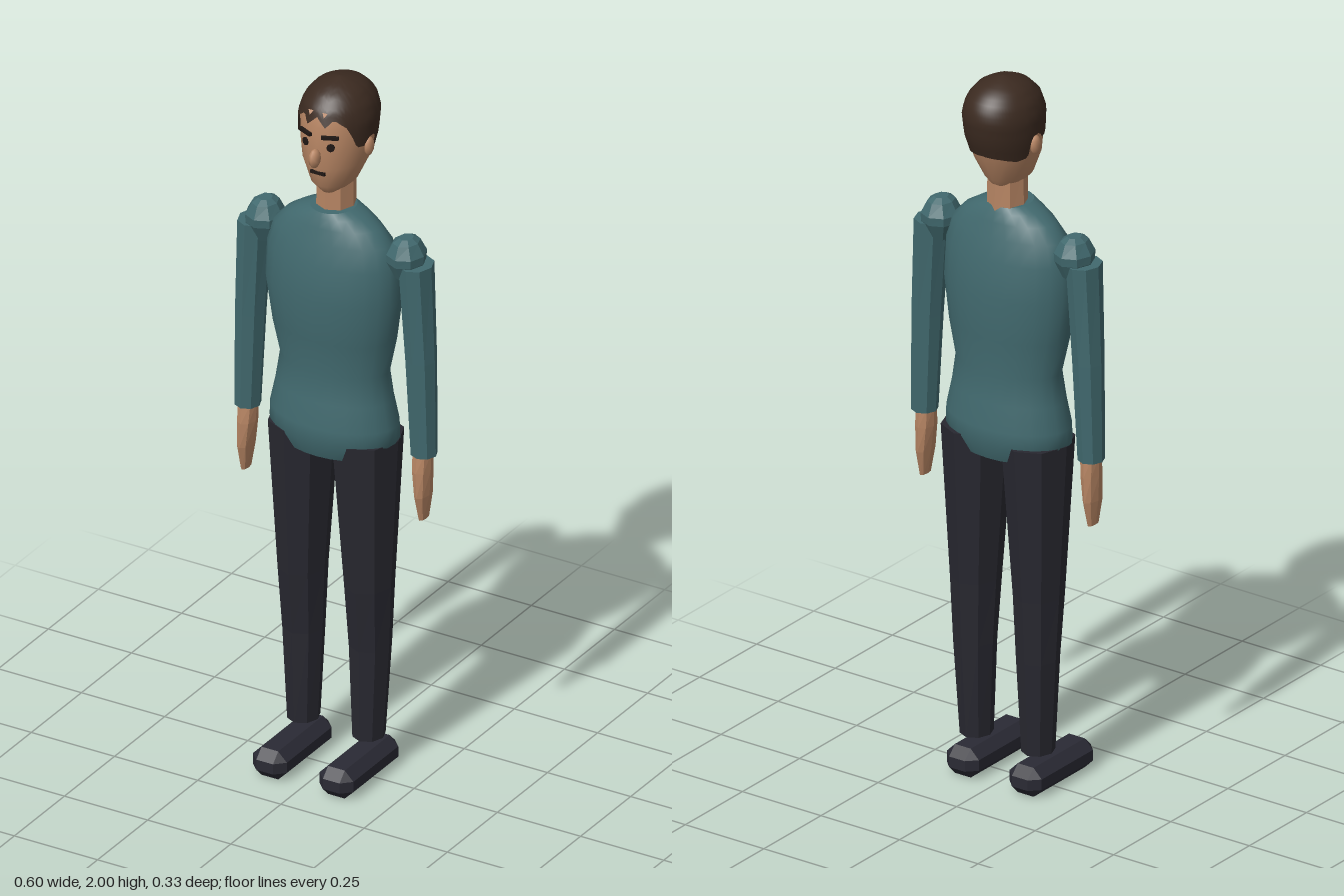
import * as THREE from 'three';
import { ConvexGeometry } from 'three/addons/geometries/ConvexGeometry.js';

// Closed tube through elliptical rings [y, cx, cz, rx, rz], listed bottom to top
function loft(rings, sides, flat) {
  const pos = [], idx = [];
  const addRing = ([y, cx, cz, rx, rz]) => {
    for (let i = 0; i < sides; i++) {
      const a = (i / sides) * Math.PI * 2;
      pos.push(cx + Math.sin(a) * rx, y, cz + Math.cos(a) * rz);
    }
  };
  rings.forEach(addRing);
  for (let r = 0; r < rings.length - 1; r++) {
    for (let i = 0; i < sides; i++) {
      const a = r * sides + i, b = r * sides + (i + 1) % sides;
      idx.push(a, b, b + sides, a, b + sides, a + sides);
    }
  }
  // separate cap vertices keep the rims sharp
  for (const top of [false, true]) {
    const ring = top ? rings[rings.length - 1] : rings[0];
    const start = pos.length / 3;
    addRing(ring);
    for (let i = 1; i < sides - 1; i++) {
      if (top) idx.push(start, start + i, start + i + 1);
      else idx.push(start, start + i + 1, start + i);
    }
  }
  let geo = new THREE.BufferGeometry();
  geo.setAttribute('position', new THREE.Float32BufferAttribute(pos, 3));
  geo.setIndex(idx);
  if (flat) geo = geo.toNonIndexed();
  geo.computeVertexNormals();
  return geo;
}

// Box with every edge and corner cut off
function chamferBox(hx, hy, hz, c) {
  const pts = [];
  for (const x of [-1, 1]) for (const y of [-1, 1]) for (const z of [-1, 1]) {
    pts.push(new THREE.Vector3(x * hx, y * (hy - c), z * (hz - c)));
    pts.push(new THREE.Vector3(x * (hx - c), y * hy, z * (hz - c)));
    pts.push(new THREE.Vector3(x * (hx - c), y * (hy - c), z * hz));
  }
  return new ConvexGeometry(pts);
}

// Piecewise-linear lookup in rows sorted by their first value
function lookup(rows, t) {
  let i = 0;
  while (i < rows.length - 2 && t > rows[i + 1][0]) i++;
  const a = rows[i], b = rows[i + 1];
  const k = THREE.MathUtils.clamp((t - a[0]) / (b[0] - a[0]), 0, 1);
  return a.map((v, j) => v + (b[j] - v) * k);
}

// Skull profile: y, centre z, half width, half depth
const SKULL = [
  [1.69, -0.022, 0.03, 0.05], [1.72, -0.02, 0.058, 0.075], [1.78, -0.028, 0.084, 0.097],
  [1.84, -0.038, 0.094, 0.11], [1.90, -0.043, 0.096, 0.115], [1.94, -0.045, 0.084, 0.103],
  [1.97, -0.045, 0.06, 0.073], [1.985, -0.045, 0.034, 0.042], [1.995, -0.045, 0, 0],
];
const faceZ = (x, y) => {
  const [, cz, rx, rz] = lookup(SKULL, y);
  return cz + rz * Math.sqrt(1 - (x / rx) ** 2);
};

// Hairline: degrees from the front, height of the lower edge
const HAIRLINE = [
  [0, 1.925], [15, 1.9], [27, 1.922], [45, 1.9], [54, 1.87], [62, 1.835], [76, 1.832],
  [82, 1.852], [98, 1.85], [106, 1.79], [125, 1.785], [150, 1.795], [180, 1.8],
];

function hairCap() {
  const cols = 72, rows = 14, gap = 0.006, pos = [], idx = [];
  for (let r = 0; r <= rows; r++) {
    for (let c = 0; c < cols; c++) {
      const deg = (c / cols) * 360, a = deg * Math.PI / 180;
      const low = lookup(HAIRLINE, deg > 180 ? 360 - deg : deg)[1];
      const y = 1.995 - (1.995 - low) * (r / rows) ** 1.7;
      const [, cz, rx, rz] = lookup(SKULL, y);
      const g = r ? gap : 0;
      pos.push(Math.sin(a) * (rx + g), y + 0.005, cz + Math.cos(a) * (rz + g));
      if (r < rows) {
        const p = r * cols + c, q = r * cols + (c + 1) % cols;
        idx.push(p, p + cols, q + cols, p, q + cols, q);
      }
    }
  }
  const geo = new THREE.BufferGeometry();
  geo.setAttribute('position', new THREE.Float32BufferAttribute(pos, 3));
  geo.setIndex(idx);
  geo.computeVertexNormals();
  return geo;
}

export function createModel() {
  const model = new THREE.Group();
  const mat = (name, color) => Object.assign(new THREE.MeshStandardMaterial({ color }), { name });
  const shirt = mat('teal shirt', 0x41696e);
  const skin = mat('skin', 0xb88664);
  const hair = mat('brown hair', 0x3b2a20);
  hair.side = THREE.DoubleSide;
  const trousers = mat('dark trousers', 0x282830);
  const shoes = mat('dark shoes', 0x2a2a34);
  const ink = mat('dark features', 0x1f1714);
  const add = (name, geo, material, x = 0, y = 0, z = 0) => {
    const mesh = new THREE.Mesh(geo, material);
    mesh.name = name;
    mesh.position.set(x, y, z);
    model.add(mesh);
    return mesh;
  };

  // Torso and neck
  add('torso', loft([
    [0.94, 0, -0.02, 0.15, 0.097], [0.985, 0, -0.02, 0.185, 0.114], [1.03, 0, -0.02, 0.183, 0.115],
    [1.1, 0, -0.02, 0.168, 0.103], [1.18, 0, -0.021, 0.156, 0.094], [1.28, 0, -0.018, 0.178, 0.106],
    [1.4, 0, -0.015, 0.195, 0.115], [1.5, 0, -0.015, 0.191, 0.104], [1.56, 0, -0.015, 0.173, 0.088],
    [1.6, 0, -0.015, 0.135, 0.078], [1.625, 0, -0.015, 0.095, 0.07], [1.64, 0, -0.015, 0.06, 0.064],
  ], 24), shirt);
  add('neck', loft([[1.6, 0, -0.027, 0.053, 0.057], [1.74, 0, -0.027, 0.05, 0.055]], 8, true), skin);

  // Head, closed beneath the hair
  const skull = SKULL.filter(s => s[0] < 1.95).map(([y, cz, rx, rz]) => [y, 0, cz, rx, rz]);
  add('head', loft(skull, 20), skin);
  add('hair', hairCap(), hair);
  add('nose', new THREE.SphereGeometry(1, 8, 6).scale(0.015, 0.027, 0.021), skin, 0, 1.814, 0.081);
  add('mouth', new THREE.BoxGeometry(0.042, 0.009, 0.008), ink, 0, 1.765, faceZ(0.01, 1.765));

  for (const s of [1, -1]) {
    const side = s > 0 ? 'left' : 'right';

    // Face details
    add(side + 'Ear', new THREE.SphereGeometry(1, 8, 6).scale(0.012, 0.027, 0.018), skin, s * 0.094, 1.824, -0.034);
    const eye = add(side + 'Eye', new THREE.CylinderGeometry(0.011, 0.011, 0.008, 8).rotateX(Math.PI / 2),
      ink, s * 0.037, 1.847, faceZ(0.037, 1.847));
    const brow = add(side + 'Brow', new THREE.BoxGeometry(0.046, 0.009, 0.009), ink, s * 0.037, 1.877, faceZ(0.037, 1.877) + 0.004);
    eye.rotation.y = brow.rotation.y = s * 0.42;
    const gap = add(side + 'FringeGap', new THREE.CircleGeometry(0.009, 3, -Math.PI / 2), skin, s * 0.021, 1.94, faceZ(0.021, 1.937) + 0.011);
    gap.rotation.x = -0.5;

    // Faceted shoulder cap, sleeve and hand
    add(side + 'Shoulder', loft([
      [1.48, s * 0.212, -0.025, 0.03, 0.033], [1.527, s * 0.212, -0.025, 0.051, 0.056],
      [1.55, s * 0.212, -0.025, 0.052, 0.058], [1.583, s * 0.212, -0.025, 0.034, 0.042],
      [1.594, s * 0.212, -0.025, 0.018, 0.022],
    ], 8, true), shirt);
    add(side + 'Sleeve', loft([
      [0.975, s * 0.265, -0.025, 0.035, 0.037], [1.25, s * 0.256, -0.025, 0.041, 0.044],
      [1.525, s * 0.242, -0.024, 0.045, 0.053],
    ], 8, true), shirt);
    add(side + 'Hand', loft([
      [0.79, s * 0.267, -0.02, 0.009, 0.022], [0.86, s * 0.266, -0.02, 0.018, 0.037],
      [0.93, s * 0.263, -0.021, 0.024, 0.036], [0.985, s * 0.262, -0.023, 0.026, 0.03],
    ], 8, true), skin);

    // Trouser leg and shoe
    add(side + 'Leg', loft([
      [0.105, s * 0.098, -0.027, 0.042, 0.048], [0.37, s * 0.1, -0.031, 0.056, 0.06],
      [0.55, s * 0.1, -0.027, 0.064, 0.074], [0.988, s * 0.096, -0.025, 0.091, 0.105],
    ], 8, true), trousers);
    add(side + 'Shoe', chamferBox(0.051, 0.041, 0.138, 0.026), shoes, s * 0.1, 0.041, 0.027);
  }
  return model;
}
